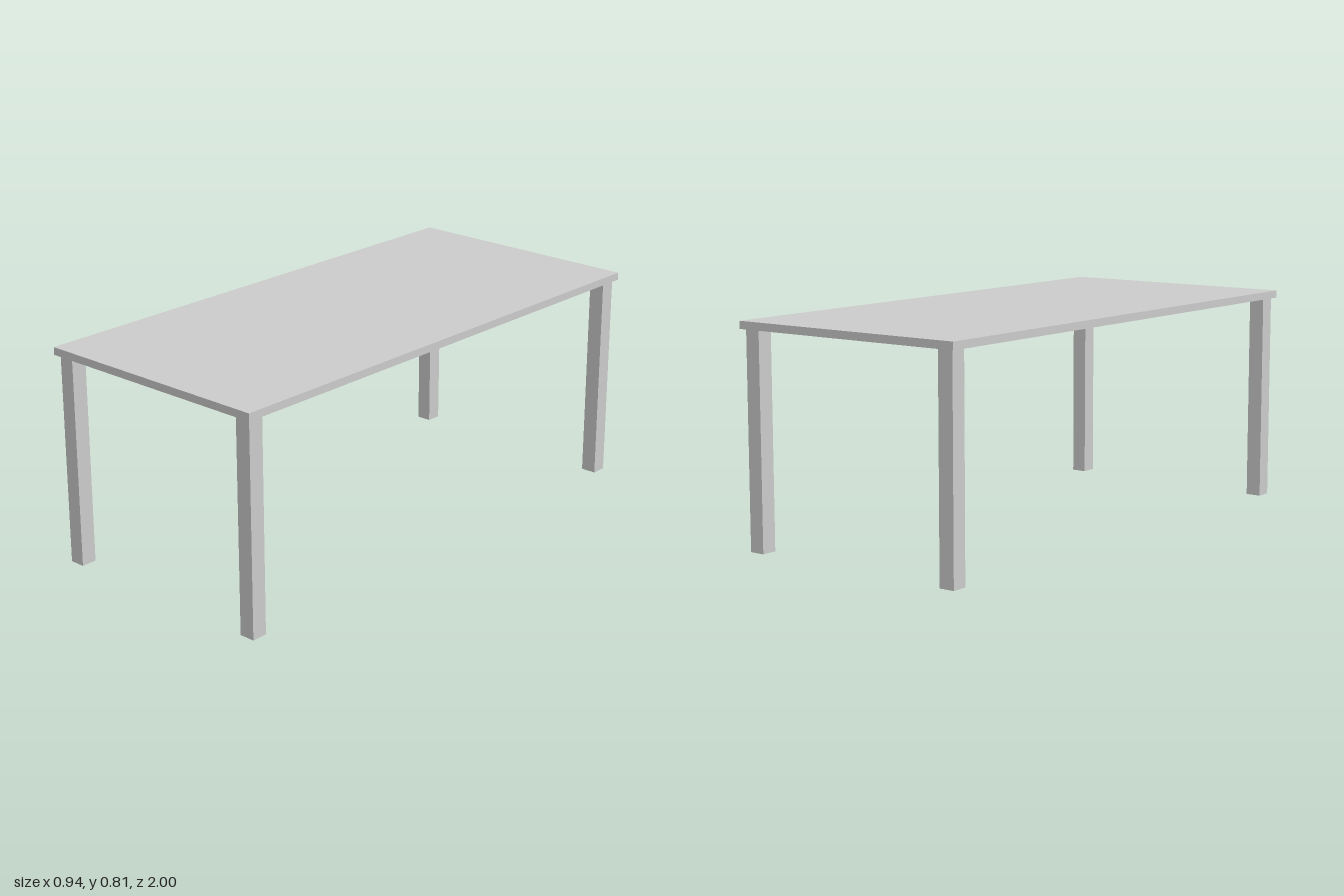
import * as THREE from 'three';

const WIDTH = 0.938, LENGTH = 2, HEIGHT = 0.808, THICKNESS = 0.028;
const LEG = 0.059, INSET = 0.0155;

export function createModel() {
  const table = new THREE.Group();
  table.name = 'table';
  const material = new THREE.MeshStandardMaterial({ color: 0xcccccc });

  function addBox(name, w, h, d, x, y, z) {
    const mesh = new THREE.Mesh(new THREE.BoxGeometry(w, h, d), material);
    mesh.name = name;
    mesh.position.set(x, y, z);
    table.add(mesh);
  }

  // Flat slab top
  addBox('tabletop', WIDTH, THICKNESS, LENGTH, 0, HEIGHT - THICKNESS / 2, 0);

  // Four square legs, set slightly in from the corners
  const legHeight = HEIGHT - THICKNESS;
  const legX = WIDTH / 2 - INSET - LEG / 2;
  const legZ = LENGTH / 2 - INSET - LEG / 2;
  for (const [sideX, nameX] of [[1, 'Left'], [-1, 'Right']]) {
    for (const [sideZ, nameZ] of [[1, 'front'], [-1, 'back']]) {
      addBox(`${nameZ}${nameX}Leg`, LEG, legHeight, LEG, sideX * legX, legHeight / 2, sideZ * legZ);
    }
  }
  return table;
}
